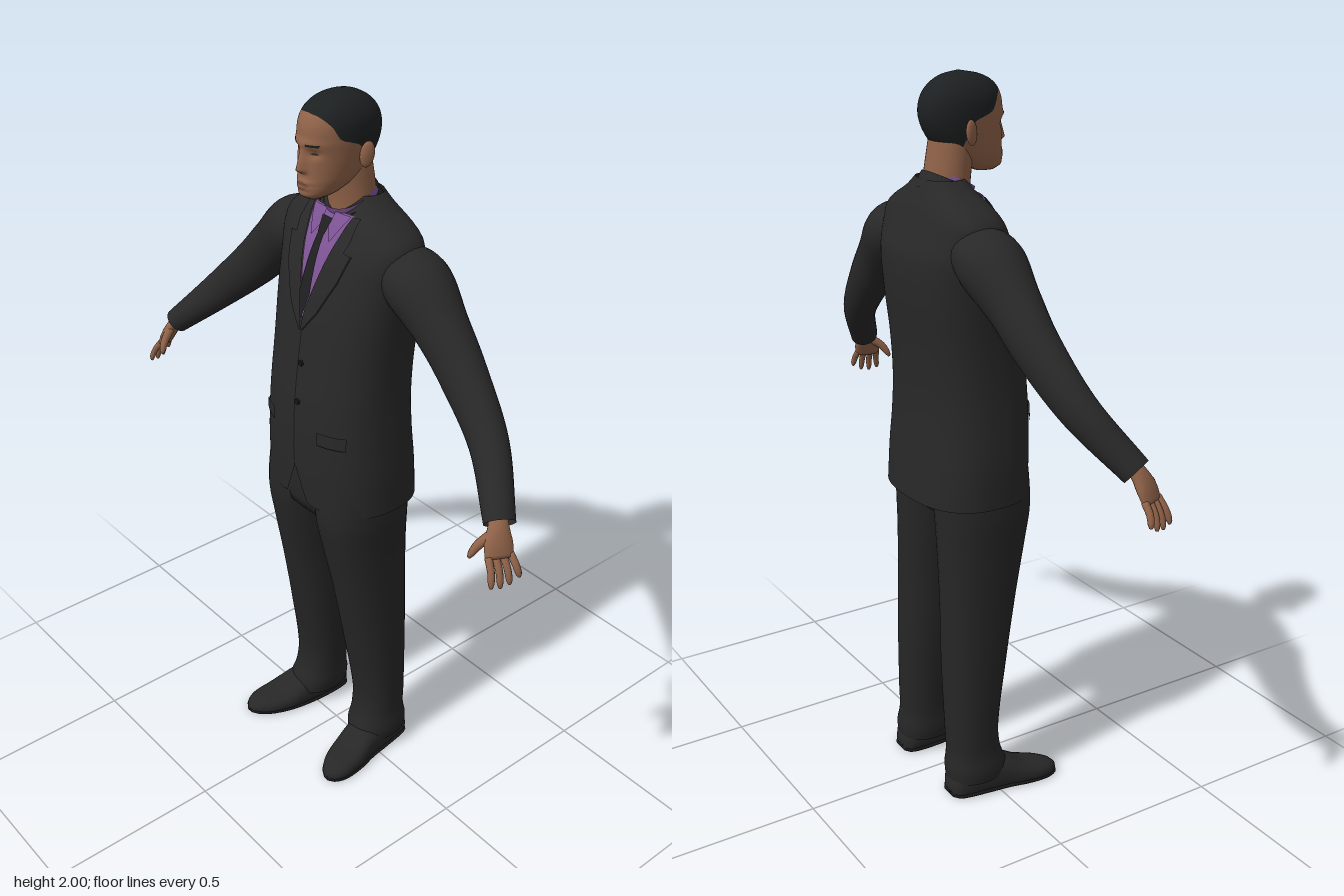
import * as THREE from 'three';
import { mergeGeometries } from 'three/addons/utils/BufferGeometryUtils.js';

const V = (x, y, z) => new THREE.Vector3(x, y, z);
const paint = (name, color, side = THREE.DoubleSide) => {
  const m = new THREE.MeshStandardMaterial({ color, side });
  m.name = name;
  return m;
};
const spow = (v, e) => Math.sign(v) * Math.abs(v) ** e;
const bell = (v, w) => Math.exp(-((v / w) ** 2));
const steps = (n, f) => Array.from({ length: n + 1 }, (_, i) => f(i / n));

// Smooth lookup in rows sorted by their first column
function at(rows, k) {
  let i = 0;
  while (i < rows.length - 2 && k > rows[i + 1][0]) i++;
  const a = rows[i], b = rows[i + 1], h = b[0] - a[0];
  const p = rows[i - 1] ?? a, q = rows[i + 2] ?? b;
  const t = THREE.MathUtils.clamp((k - a[0]) / h, 0, 1), t2 = t * t, t3 = t2 * t;
  return a.map((v, c) => {
    const m0 = (b[c] - p[c]) / (b[0] - p[0]), m1 = (q[c] - v) / (q[0] - a[0]);
    return v * (2 * t3 - 3 * t2 + 1) + b[c] * (3 * t2 - 2 * t3) + h * (m0 * (t3 - 2 * t2 + t) + m1 * (t3 - t2));
  });
}

// Surface through rows of points; closed rows wrap around and may be capped
function skin(rings, { closed = true, capStart = false, capEnd = false } = {}) {
  const n = rings[0].length, pts = rings.flat(), idx = [];
  for (let i = 0; i < rings.length - 1; i++)
    for (let j = 0; j < (closed ? n : n - 1); j++) {
      const a = i * n + j, b = i * n + (j + 1) % n;
      idx.push(a, b, b + n, a, b + n, a + n);
    }
  const cap = (r, flip) => {
    const c = pts.length;
    pts.push(rings[r].reduce((s, v) => s.add(v), V(0, 0, 0)).divideScalar(n));
    for (let j = 0; j < n; j++) {
      const a = r * n + j, b = r * n + (j + 1) % n;
      idx.push(...(flip ? [b, a, c] : [a, b, c]));
    }
  };
  if (capStart) cap(0, true);
  if (capEnd) cap(rings.length - 1, false);
  const g = new THREE.BufferGeometry().setFromPoints(pts);
  g.setIndex(idx);
  g.computeVertexNormals();
  return g;
}

// Tube along rows of [s, x, y, z, depthRadius, heightRadius]
function sweep(rows, n, seg, caps = {}, wide = V(0, 0, 1)) {
  const end = rows[rows.length - 1][0], pos = s => V(...at(rows, s).slice(1, 4));
  return skin(steps(n, f => {
    const s = f * end, r = at(rows, s), e = end * 0.01;
    const T = pos(Math.min(s + e, end)).sub(pos(Math.max(s - e, 0))).normalize();
    const U = wide.clone().addScaledVector(T, -wide.dot(T)).normalize();
    const W = T.clone().cross(U);
    return steps(seg - 1, q => {
      const a = q * (seg - 1) / seg * Math.PI * 2;
      return V(r[1], r[2], r[3]).addScaledVector(U, Math.cos(a) * r[4]).addScaledVector(W, Math.sin(a) * r[5]);
    });
  }), caps);
}

function mirrored(g) {
  const m = g.clone().scale(-1, 1, 1), a = m.index.array;
  for (let i = 0; i < a.length; i += 3) [a[i], a[i + 1]] = [a[i + 1], a[i]];
  m.computeVertexNormals();
  return m;
}

// Body sections: [y, half width, front z, back z]
const TORSO = [[0.89, 0.215, 0.14, -0.185], [1, 0.214, 0.145, -0.178], [1.1, 0.207, 0.145, -0.17], [1.2, 0.2, 0.14, -0.168],
  [1.32, 0.198, 0.125, -0.175], [1.45, 0.205, 0.105, -0.188], [1.55, 0.215, 0.08, -0.188], [1.61, 0.222, 0.058, -0.17],
  [1.65, 0.215, 0.037, -0.158], [1.68, 0.175, 0.02, -0.148], [1.71, 0.115, 0, -0.135], [1.74, 0.075, -0.02, -0.122]];
const HEAD = [[1.748, 0.02, 0.09, 0.035], [1.762, 0.04, 0.106, 0], [1.79, 0.057, 0.107, -0.05], [1.82, 0.066, 0.105, -0.085],
  [1.86, 0.073, 0.104, -0.112], [1.9, 0.077, 0.105, -0.123], [1.94, 0.075, 0.098, -0.115], [1.97, 0.061, 0.078, -0.092],
  [1.99, 0.038, 0.04, -0.058], [2, 0.003, -0.012, -0.018]];
const HAIRLINE = [[0, 1.962], [0.5, 1.956], [0.9, 1.935], [1.12, 1.905], [1.4, 1.892], [1.6, 1.88], [1.85, 1.84], [2.3, 1.803], [3.15, 1.792]];

const section = (rows, p, y, t) => {
  const [, rx, zf, zb] = at(rows, y);
  return V(rx * spow(Math.sin(t), 2 / p), y, (zf + zb) / 2 + (zf - zb) / 2 * spow(Math.cos(t), 2 / p));
};
const frontZ = (rows, p, x, y) => {
  const [, rx, zf, zb] = at(rows, y), u = Math.min(1, Math.abs(x / rx));
  return (zf + zb) / 2 + (zf - zb) / 2 * (1 - u ** p) ** (1 / p);
};
// Nose, eye sockets, brow, lips and chin
const relief = (x, y) => {
  const nose = y < 1.828 ? THREE.MathUtils.smoothstep(y, 1.812, 1.828) : Math.max(0, 1 - (y - 1.828) / 0.065);
  return 0.021 * nose * bell(x, 0.013) - 0.008 * bell(Math.abs(x) - 0.03, 0.016) * bell(y - 1.868, 0.011)
    + 0.005 * bell(y - 1.892, 0.01) * bell(x, 0.05) + 0.004 * bell(y - 1.762, 0.01) * bell(x, 0.025)
    + 0.006 * bell(x, 0.024) * (bell(y - 1.795, 0.006) + bell(y - 1.782, 0.006));
};
const chest = (x, y) => frontZ(TORSO, 2.5, x, y);
const face = (x, y) => frontZ(HEAD, 2.2, x, y) + relief(x, y);

// Thin plate laid on a front surface, rows of [y, x from, x to] from the bottom up
function drape(rows, surface, lift) {
  const out = [];
  rows.slice(1).forEach((b, i) => {
    const a = rows[i];
    for (let s = i ? 1 : 0; s <= 6; s++) {
      const [y, l, r] = a.map((v, c) => v + (b[c] - v) * s / 6);
      out.push(steps(8, f => V(l + (r - l) * f, y, surface(l + (r - l) * f, y) + lift)));
    }
  });
  return skin(out, { closed: false });
}

const ring = (n, f) => steps(n - 1, q => f(q * (n - 1) / n * Math.PI * 2));

export function createModel() {
  const suit = paint('suit cloth', 0x282828), trouser = paint('trouser cloth', 0x262626), seam = paint('seam black', 0x161616);
  const shirt = paint('purple shirt', 0x7d5394), tie = paint('tie black', 0x1f1f22), leather = paint('shoe leather', 0x272728);
  const skinTone = paint('skin', 0x8f6248), lip = paint('lip brown', 0x7c5040), hair = paint('hair black', 0x1d2021), eye = paint('eye brown', 0x3d2a20);
  const model = new THREE.Group();
  const add = (name, geo, mat) => {
    const m = new THREE.Mesh(geo, mat);
    m.name = name;
    model.add(m);
  };
  const pair = (name, geo, mat) => {
    add(name + 'Left', geo, mat);
    add(name + 'Right', mirrored(geo), mat);
  };

  // Jacket body with a notch in the front hem
  add('jacket', skin(steps(64, f => ring(96, t => {
    const y = 0.89 + 0.85 * f, x = section(TORSO, 2.5, y, t).x;
    const hem = Math.cos(t) > 0 ? 1.0 - Math.abs(x) * 2.5 : 0;
    return section(TORSO, 2.5, Math.max(y, hem), t);
  }))), suit);
  const collar = (r, h, y, from) => new THREE.CylinderGeometry(r * 0.95, r, h, 40, 1, true, from, Math.PI * 2 - 2 * from)
    .rotateX(0.45).translate(0, y, -0.05);
  add('jacketCollar', collar(0.082, 0.045, 1.705, 0.9), suit);
  pair('lapel', drape([[1.4, 0, 0.005], [1.46, 0.008, 0.05], [1.55, 0.033, 0.095], [1.62, 0.052, 0.115], [1.625, 0.053, 0.092],
    [1.65, 0.06, 0.1], [1.7, 0.073, 0.095]], chest, 0.008), suit);
  pair('lapelEdge', drape([[1.4, 0.003, 0.008], [1.46, 0.045, 0.053], [1.55, 0.09, 0.098], [1.62, 0.11, 0.118]], chest, 0.005), seam);
  add('frontSeam', drape([[1.0, -0.002, 0.002], [1.4, -0.002, 0.002]], chest, 0.002), seam);
  add('buttons', mergeGeometries([1.2, 1.31].map(y => new THREE.CylinderGeometry(0.008, 0.008, 0.006, 14)
    .rotateX(Math.PI / 2).translate(0.012, y, chest(0.012, y) + 0.003))), seam);
  pair('pocketFlap', drape([[1.105, 0.09, 0.165], [1.14, 0.088, 0.165]], chest, 0.005), suit);
  pair('pocketSeam', drape([[1.101, 0.089, 0.166], [1.106, 0.089, 0.166]], chest, 0.004), seam);

  // Shirt and tie
  add('shirtFront', drape([[1.43, -0.002, 0.002], [1.55, -0.036, 0.036], [1.62, -0.055, 0.055], [1.7, -0.075, 0.075]], chest, 0.003), shirt);
  add('shirtCollar', collar(0.071, 0.055, 1.712, 0), shirt);
  pair('collarWing', drape([[1.635, 0.032, 0.036], [1.665, 0.014, 0.052], [1.7, 0.016, 0.07]], chest, 0.009), shirt);
  add('tie', drape([[1.435, -0.003, 0.003], [1.5, -0.02, 0.02], [1.645, -0.011, 0.011], [1.65, -0.013, 0.013], [1.685, -0.02, 0.02]], chest, 0.011), tie);

  // Sleeves
  pair('sleeve', sweep([[0, 0.15, 1.585, -0.065, 0.075, 0.06], [1, 0.235, 1.555, -0.065, 0.088, 0.086], [2, 0.33, 1.475, -0.06, 0.068, 0.074],
    [3, 0.42, 1.387, -0.052, 0.057, 0.067], [4, 0.55, 1.265, -0.02, 0.047, 0.054], [5, 0.675, 1.137, 0.058, 0.041, 0.036]], 40, 28), suit);

  // Hands: palm, four fingers and a thumb
  const caps = { capStart: true, capEnd: true }, wide = V(-0.35, 0, 0.94);
  const parts = [sweep([[0, 0.65, 1.16, 0.045, 0.024, 0.018], [1, 0.675, 1.135, 0.062, 0.026, 0.018],
    [2, 0.692, 1.1, 0.076, 0.037, 0.017], [3, 0.706, 1.066, 0.084, 0.037, 0.012]], 12, 18, caps, wide)];
  [0.056, 0.061, 0.058, 0.046].forEach((len, i) => {
    const u = (1.5 - i) * 0.019, x = 0.704 - 0.35 * u, y = 1.072, z = 0.083 + 0.94 * u;
    parts.push(sweep([[0, x, y, z, 0.0095, 0.0095], [1, x + 0.02, y - len * 0.5, z + u * 0.15 + 0.004, 0.009, 0.009],
      [2, x + 0.029, y - len * 0.95, z + u * 0.3 + 0.006, 0.008, 0.008], [3, x + 0.031, y - len * 1.18, z + u * 0.35 + 0.006, 0.004, 0.004]], 9, 10, caps));
  });
  parts.push(sweep([[0, 0.678, 1.12, 0.08, 0.014, 0.014], [1, 0.664, 1.096, 0.112, 0.012, 0.012],
    [2, 0.656, 1.072, 0.128, 0.009, 0.009], [3, 0.653, 1.06, 0.133, 0.004, 0.004]], 9, 10, caps));
  pair('hand', mergeGeometries(parts), skinTone);

  // Trousers: hips and legs [y, inner x, outer x, front z, back z]
  const HIPS = [[0.85, 0.19, 0.12, -0.13], [0.92, 0.2, 0.128, -0.145], [1.05, 0.19, 0.12, -0.14]];
  add('hips', skin(steps(8, f => ring(48, t => section(HIPS, 2.5, 0.85 + 0.2 * f, t))), { capStart: true }), trouser);
  const LEG = [[0.045, 0.068, 0.208, 0.045, -0.133], [0.08, 0.062, 0.212, 0.044, -0.135], [0.12, 0.064, 0.204, 0.028, -0.128],
    [0.2, 0.06, 0.202, 0.02, -0.13], [0.4, 0.045, 0.2, 0.05, -0.135], [0.6, 0.033, 0.198, 0.085, -0.135],
    [0.75, 0.016, 0.2, 0.115, -0.137], [0.86, 0.003, 0.205, 0.132, -0.14], [1, 0.003, 0.195, 0.125, -0.14]];
  pair('trouserLeg', skin(steps(48, f => ring(32, t => {
    const y = 0.045 + 0.955 * f, [, a, b, zf, zb] = at(LEG, y), e = 2 / 2.3;
    return V((a + b) / 2 + (b - a) / 2 * spow(Math.sin(t), e), y, (zf + zb) / 2 + (zf - zb) / 2 * spow(Math.cos(t), e));
  }))), trouser);

  // Shoes: [z, centre x, half width, height]
  const SHOE = [[-0.135, 0.14, 0.025, 0.045], [-0.12, 0.14, 0.045, 0.07], [-0.04, 0.145, 0.056, 0.1], [0.03, 0.153, 0.058, 0.088],
    [0.09, 0.166, 0.059, 0.058], [0.15, 0.18, 0.048, 0.044], [0.183, 0.187, 0.028, 0.033], [0.195, 0.189, 0.008, 0.022]];
  const shoe = (grow, height) => skin(steps(30, f => {
    const [z, cx, w, h] = at(SHOE, -0.135 + 0.33 * f), top = height ?? h;
    return ring(24, t => V(cx + (w + grow) * spow(Math.cos(t), 0.75), Math.max(0, top * (0.4 + 0.6 * spow(Math.sin(t), 0.85))), z));
  }), caps);
  pair('shoe', shoe(0, undefined), leather);
  pair('sole', shoe(0.003, 0.014), seam);

  // Head split along the hairline
  const headPoint = (y, t) => {
    const v = section(HEAD, 2.2, y, t);
    if (Math.cos(t) > 0) v.z += relief(v.x, y) * Math.min(1, Math.cos(t) * 2.5);
    return v;
  };
  const line = t => at(HAIRLINE, Math.min(t, Math.PI * 2 - t))[1];
  add('head', skin(steps(70, f => ring(120, t => headPoint(1.748 + (line(t) - 1.748) * f, t))), { capStart: true }), skinTone);
  add('hair', skin(steps(30, f => ring(120, t => {
    const y = 2 - (2 - line(t)) * (1 - f) ** 2;
    return headPoint(y, t);
  })), { capEnd: true }), hair);
  add('neck', sweep([[0, 0, 1.64, -0.055, 0.062, 0.066], [1, 0, 1.73, -0.05, 0.06, 0.064], [2, 0, 1.83, -0.035, 0.06, 0.058]], 10, 32), skinTone);
  pair('ear', new THREE.SphereGeometry(1, 18, 14).scale(0.009, 0.033, 0.019).rotateX(-0.15).rotateY(-0.35)
    .translate(0.083, 1.856, -0.027), skinTone);

  // Painted face details
  pair('eyebrow', drape([[1.887, 0.014, 0.044], [1.893, 0.016, 0.048]], face, 0.0012), hair);
  pair('eye', drape([[1.865, 0.025, 0.033], [1.868, 0.019, 0.041], [1.871, 0.026, 0.034]], face, 0.0012), eye);
  add('lips', drape([[1.777, -0.01, 0.01], [1.788, -0.024, 0.024], [1.799, -0.008, 0.008]], face, 0.001), lip);
  return model;
}
